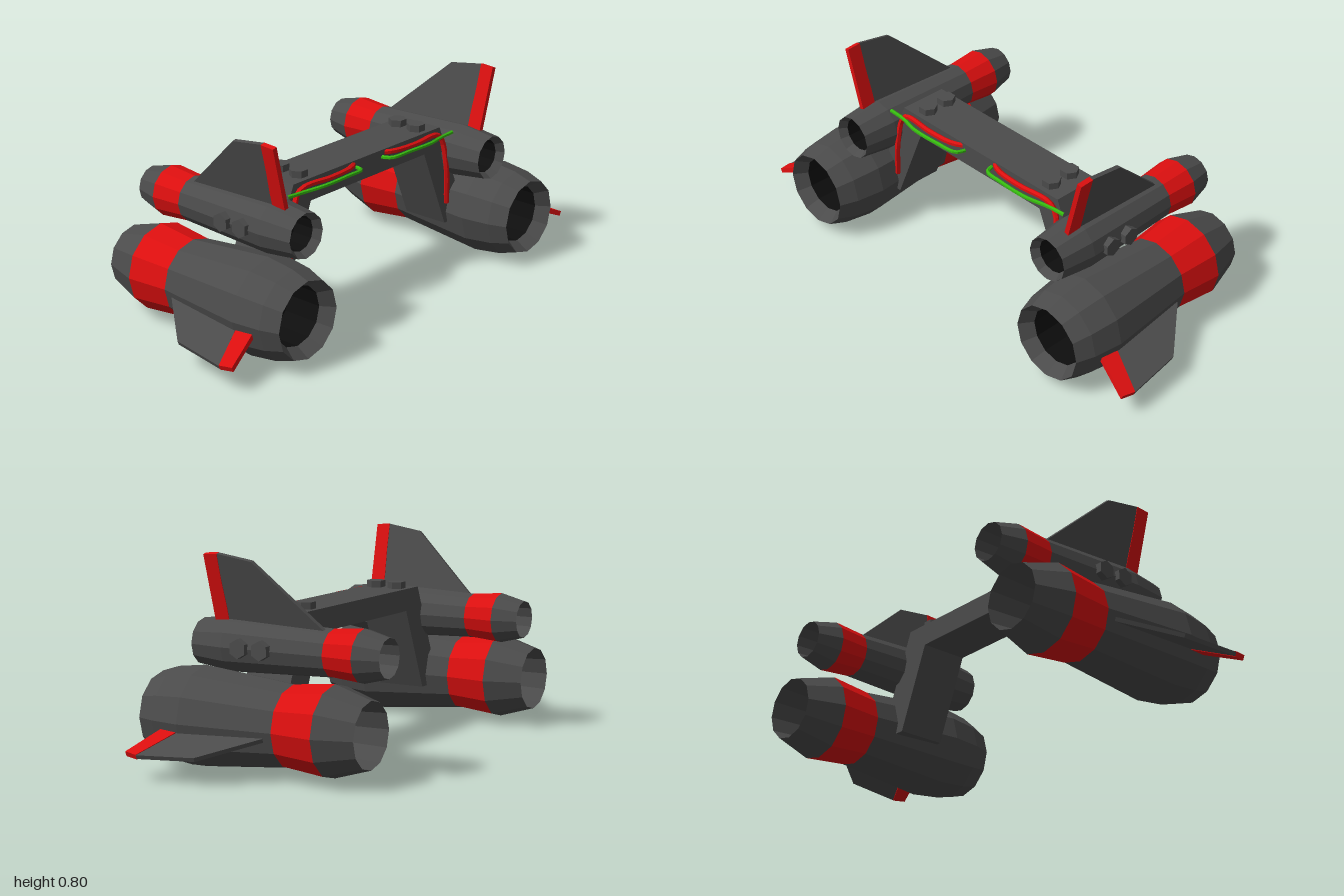
import * as THREE from 'three';

export function createModel() {
  const model = new THREE.Group();
  const paint = (name, color, side = THREE.FrontSide) => {
    const m = new THREE.MeshStandardMaterial({ color, flatShading: true, side });
    m.name = name;
    return m;
  };
  const grey = paint('hullGrey', 0x4b4b4b, THREE.DoubleSide);
  const red = paint('stripeRed', 0xdc0f0f, THREE.DoubleSide);
  const black = paint('nozzleBlack', 0x0e0e0e, THREE.DoubleSide);
  const green = paint('cableGreen', 0x35b80f);

  const add = (name, geo, mat) => {
    const mesh = new THREE.Mesh(geo, mat);
    mesh.name = name;
    model.add(mesh);
  };

  // Adds a part and its mirror image across z = 0, with corners reversed
  const addPair = (name, source, mat) => {
    const geo = source.index ? source.toNonIndexed() : source;
    const flipped = geo.clone().scale(1, 1, -1);
    const p = flipped.attributes.position;
    for (let i = 0; i < p.count; i += 3) {
      const a = new THREE.Vector3().fromBufferAttribute(p, i + 1);
      const b = new THREE.Vector3().fromBufferAttribute(p, i + 2);
      p.setXYZ(i + 1, b.x, b.y, b.z);
      p.setXYZ(i + 2, a.x, a.y, a.z);
    }
    geo.computeVertexNormals();
    flipped.computeVertexNormals();
    add(name + 'Front', geo, mat);
    add(name + 'Back', flipped, mat);
  };

  // Twelve-sided engine piece along x from [x, radius] pairs
  const turned = (pts, y, z) =>
    new THREE.LatheGeometry(pts.map(([x, r]) => new THREE.Vector2(r, x)), 12)
      .rotateZ(-Math.PI / 2).translate(0, y, z);

  const engine = (name, y, z, p) => {
    const [intake, band0, band1, belly, ...tail] = p;
    const [endX, endR] = p[p.length - 1];
    const lipX = endX - endR * 0.35, lipR = endR * 0.77;
    addPair(name + 'Intake', turned([intake, band0], y, z), grey);
    addPair(name + 'Band', turned([band0, band1], y, z), red);
    addPair(name + 'Body', turned([band1, belly, ...tail, [lipX, lipR]], y, z), grey);
    addPair(name + 'Nozzle', turned([[lipX, lipR], [lipX - endR, lipR], [lipX - endR, 0]], y, z), black);
    addPair(name + 'Liner', turned([intake, [-0.1, intake[1] * 0.8], [-0.1, 0]], y, z), grey);
  };
  engine('lowerEngine', 0.195, 0.665,
    [[-0.45, 0.126], [-0.3, 0.172], [-0.125, 0.154], [0.26, 0.192], [0.38, 0.177], [0.455, 0.153]]);
  engine('upperEngine', 0.455, 0.55,
    [[-0.457, 0.075], [-0.355, 0.101], [-0.228, 0.09], [0.2, 0.106], [0.343, 0.089]]);

  // Flat plate drawn in x and u, where u runs along the slanted direction v
  const plate = (pts, v, origin, t) => {
    const geo = new THREE.ExtrudeGeometry(
      new THREE.Shape(pts.map(([x, u]) => new THREE.Vector2(x, u))), { depth: t, bevelEnabled: false });
    geo.translate(0, 0, -t / 2);
    const x = new THREE.Vector3(1, 0, 0);
    const n = x.clone().cross(v).normalize();
    return geo.applyMatrix4(new THREE.Matrix4().makeBasis(x, v, n).setPosition(origin));
  };

  // Upright fins, leaning outward
  const up = new THREE.Vector3(0, 1, 0.26), upAt = new THREE.Vector3(0, 0, 0.432);
  addPair('uprightFin', plate([[-0.2, 0.54], [-0.15, 0.5], [0.207, 0.5], [0.209, 0.6], [0.215, 0.7],
    [0.217, 0.802], [0.07, 0.78]], up, upAt, 0.016), grey);
  addPair('uprightFinEdge', plate([[0.207, 0.5], [0.268, 0.5], [0.276, 0.798], [0.217, 0.802],
    [0.215, 0.7], [0.209, 0.6]], up, upAt, 0.02), red);

  // Side fins, drooping outward
  const out = new THREE.Vector3(0, -0.4, 1), outAt = new THREE.Vector3(0, 0.491, 0);
  addPair('sideFin', plate([[-0.09, 0.815], [0, 0.78], [0.25, 0.8], [0.265, 0.84], [0.335, 0.997],
    [0.1, 0.97]], out, outAt, 0.016), grey);
  addPair('sideFinEdge', plate([[0.25, 0.8], [0.33, 0.8], [0.345, 0.84], [0.39, 0.986],
    [0.335, 0.997]], out, outAt, 0.02), red);

  // Bridge: crossbeam with two slanted legs, drawn in z and y
  const half = [[0.335, 0.485], [0.475, 0.15], [0.56, 0.15], [0.575, 0.23], [0.43, 0.575]];
  const outline = [...half, ...half.map(([z, y]) => [-z, y]).reverse()];
  const bridge = new THREE.ExtrudeGeometry(
    new THREE.Shape(outline.map(([z, y]) => new THREE.Vector2(z, y))), { depth: 0.2, bevelEnabled: false });
  add('bridge', bridge.rotateY(-Math.PI / 2).translate(0.17, 0, 0), grey);

  // Hexagonal bolts on the bridge and on the upper engines
  for (const x of [0.022, 0.117]) {
    addPair('bridgeBolt', new THREE.CylinderGeometry(0.037, 0.037, 0.04, 6).translate(x, 0.582, 0.345), grey);
    addPair('engineBolt', new THREE.CylinderGeometry(0.037, 0.037, 0.05, 6)
      .rotateX(Math.PI / 2).translate(x, 0.457, 0.645), grey);
  }

  // Cables along the rear edge of the bridge
  const cable = (pts, r) => new THREE.TubeGeometry(
    new THREE.CatmullRomCurve3(pts.map(p => new THREE.Vector3(...p))), 24, r, 6);
  addPair('redCable', cable([[0.165, 0.56, 0.09], [0.185, 0.56, 0.13], [0.193, 0.558, 0.25],
    [0.183, 0.556, 0.39], [0.182, 0.53, 0.428], [0.192, 0.4, 0.452], [0.175, 0.24, 0.478]], 0.011), red);
  addPair('greenCable', cable([[0.165, 0.545, 0.075], [0.205, 0.547, 0.09], [0.222, 0.553, 0.18],
    [0.22, 0.55, 0.31], [0.192, 0.542, 0.41], [0.19, 0.545, 0.485]], 0.008), green);

  return model;
}
